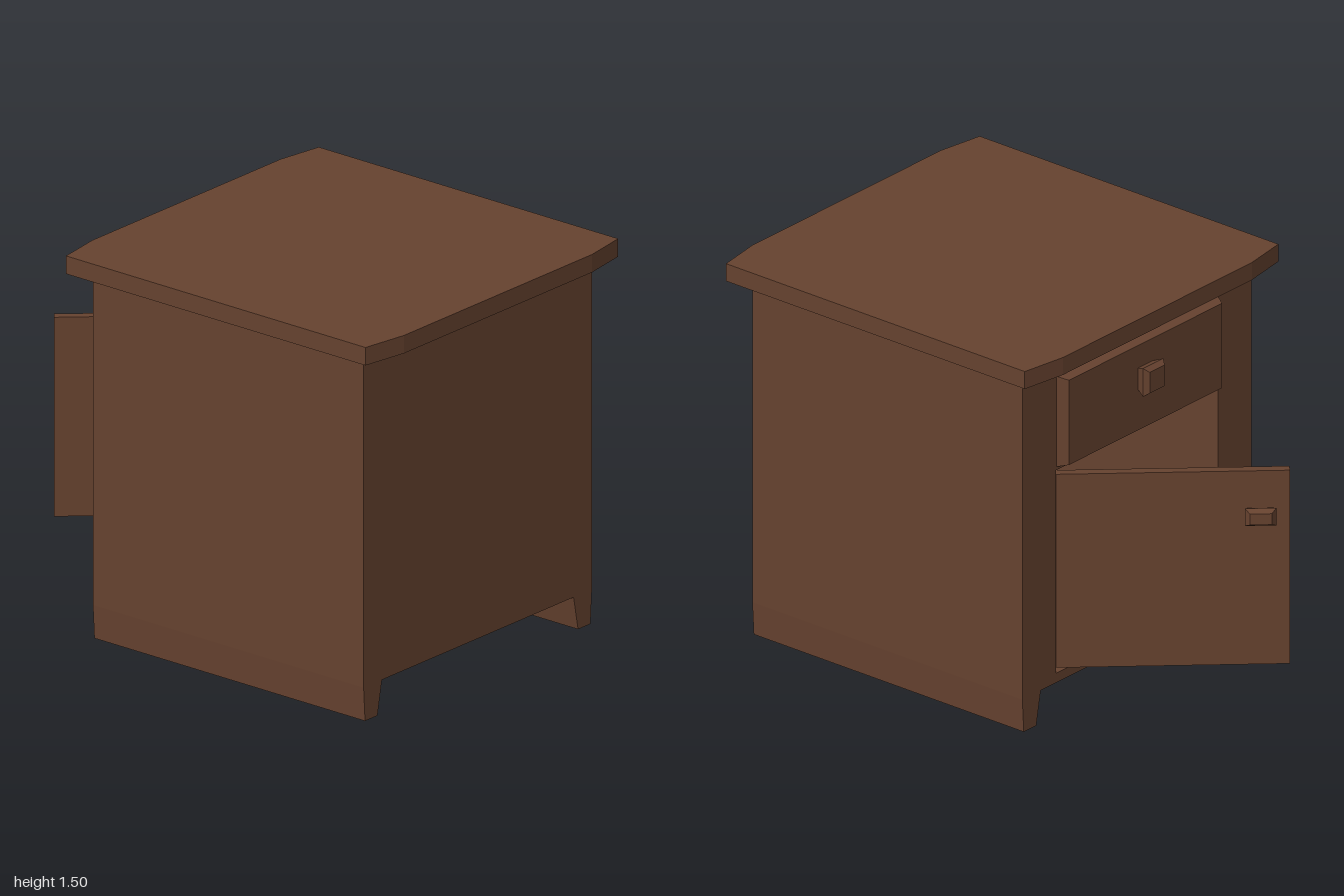
import * as THREE from 'three';

const wood = new THREE.MeshStandardMaterial({ color: 0x66422f, flatShading: true });

function part(name, geometry, parent) {
  const mesh = new THREE.Mesh(geometry, wood);
  mesh.name = name;
  parent.add(mesh);
  return mesh;
}

// Rectangular block whose half width and half height change along +z
// rings: [z, halfWidth, halfHeight] from back to front
function facetedBlock(rings) {
  const n = rings.length - 1;
  const g = new THREE.BoxGeometry(2, 2, n, 1, 1, n);
  const p = g.attributes.position;
  for (let i = 0; i < p.count; i++) {
    const [z, w, h] = rings[Math.round(p.getZ(i) + n / 2)];
    p.setXYZ(i, p.getX(i) * w, p.getY(i) * h, z);
  }
  const flat = g.toNonIndexed();
  flat.computeVertexNormals();
  return flat;
}

// Cross-section of the cabinet with its two tapered runners, extruded along x
function cabinetSlice(x0, x1, withOpening) {
  const half = [[0.54, 0.132], [0.565, 0], [0.635, 0], [0.643, 0.132], [0.643, 1.425]];
  const mirrored = half.map(([z, y]) => [-z, y]).reverse();
  const shape = new THREE.Shape([...half, ...mirrored].map(([z, y]) => new THREE.Vector2(z, y)));
  if (withOpening) {
    shape.holes.push(new THREE.Path([[-0.455, 0.17], [-0.455, 0.985], [0.455, 0.985], [0.455, 0.17]]
      .map(([z, y]) => new THREE.Vector2(z, y))));
  }
  const g = new THREE.ExtrudeGeometry(shape, { depth: x1 - x0, bevelEnabled: false });
  return g.rotateY(Math.PI / 2).translate(x0, 0, 0);
}

export function createModel() {
  const model = new THREE.Group();
  model.name = 'bedsideCabinet';

  // Hollow body and back panel
  part('cabinetBody', cabinetSlice(-0.385, 0.84, true), model);
  part('backPanel', cabinetSlice(0.84, 0.9, false), model);

  // Table top with clipped corners
  const outline = [[-0.483, -0.53], [-0.455, -0.712], [0.967, -0.712], [0.996, -0.53],
    [0.996, 0.53], [0.967, 0.712], [-0.455, 0.712], [-0.483, 0.53]];
  const topShape = new THREE.Shape(outline.map(([x, z]) => new THREE.Vector2(x, z)));
  const top = new THREE.ExtrudeGeometry(topShape, { depth: 0.07, bevelEnabled: false });
  part('tableTop', top.rotateX(-Math.PI / 2).translate(0, 1.425, 0), model);

  // Drawer front with knob, facing -x
  const drawer = new THREE.Group();
  drawer.name = 'drawer';
  drawer.position.set(-0.38, 1.18, 0);
  drawer.rotation.y = -Math.PI / 2;
  model.add(drawer);
  part('drawerFront', facetedBlock([[0, 0.455, 0.183], [0.046, 0.43, 0.17]]), drawer);
  part('drawerKnob', facetedBlock([[0.04, 0.04, 0.04], [0.082, 0.057, 0.057], [0.102, 0.042, 0.042]]), drawer)
    .position.y = 0.037;

  // Door swung open on its hinge
  const door = new THREE.Group();
  door.name = 'door';
  door.position.set(-0.36, 0, -0.455);
  door.rotation.y = Math.atan2(-0.678, -0.735);
  model.add(door);
  part('doorPanel', new THREE.BoxGeometry(0.87, 0.776, 0.036).translate(0.435, 0.573, -0.018), door);
  part('doorKnob', facetedBlock([[-0.004, 0.042, 0.02], [0.031, 0.057, 0.035], [0.052, 0.04, 0.022]]), door)
    .position.set(0.762, 0.79, 0);

  return model;
}
